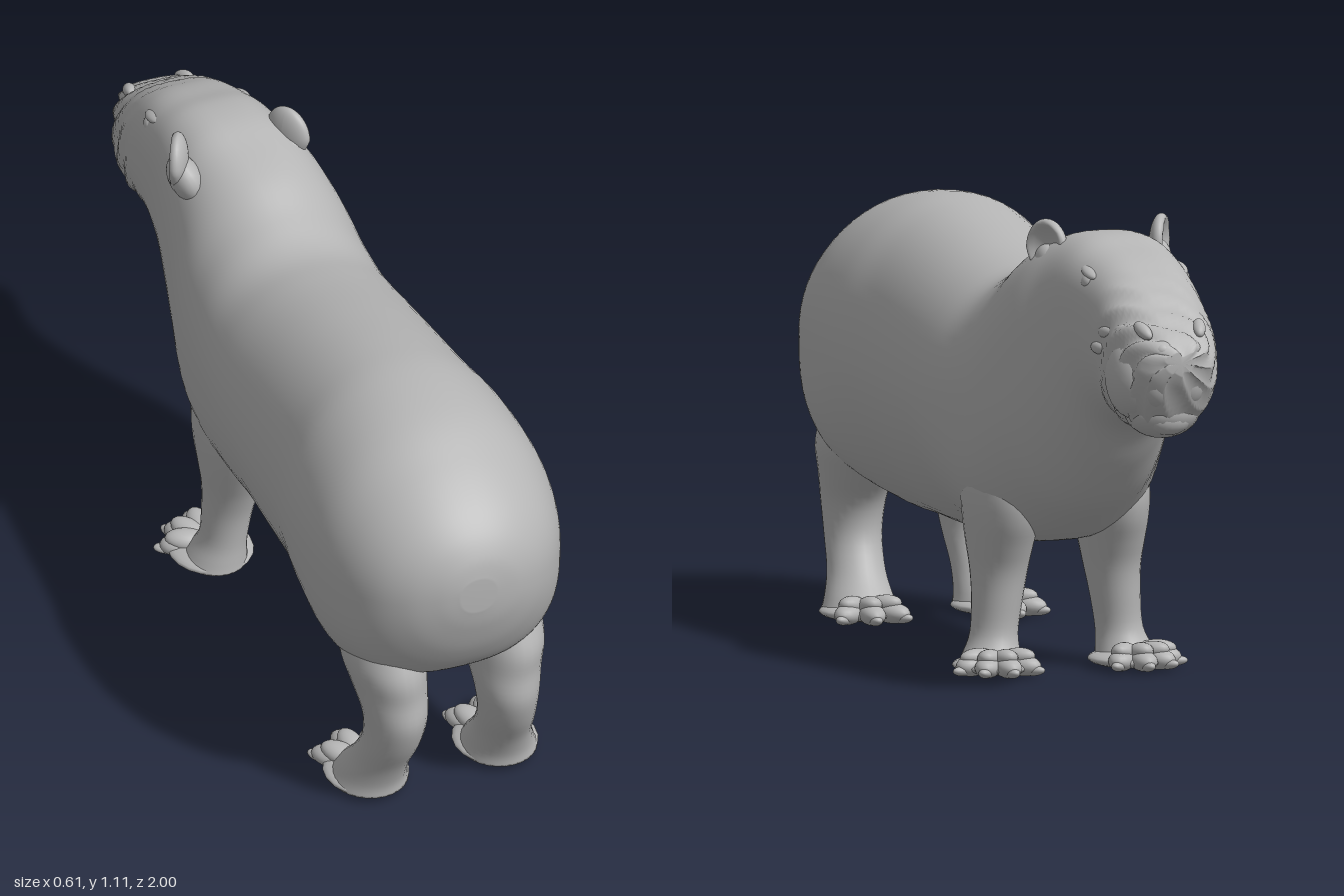
import * as THREE from 'three';

const fur = new THREE.MeshStandardMaterial({ color: 0xb5b5b5 });
fur.name = 'grey fur';
const { smoothstep } = THREE.MathUtils;

// Closed smooth skin through rings of points, wound outward
function loft(rings) {
  const n = rings[0].length, pos = [], idx = [];
  rings.forEach(r => r.forEach(p => pos.push(...p)));
  for (let i = 0; i < rings.length - 1; i++) {
    for (let j = 0; j < n; j++) {
      const a = i * n + j, b = i * n + (j + 1) % n;
      idx.push(a, b, a + n, b, b + n, a + n);
    }
  }
  [0, rings.length - 1].forEach((k, end) => {
    const c = [0, 1, 2].map(d => rings[k].reduce((s, p) => s + p[d], 0) / n);
    const ci = pos.length / 3;
    pos.push(...c);
    for (let j = 0; j < n; j++) {
      const a = k * n + j, b = k * n + (j + 1) % n;
      if (end) idx.push(a, b, ci); else idx.push(b, a, ci);
    }
  });
  let volume = 0;
  const v = i => new THREE.Vector3().fromArray(pos, i * 3);
  for (let i = 0; i < idx.length; i += 3) volume += v(idx[i]).dot(v(idx[i + 1]).cross(v(idx[i + 2])));
  if (volume < 0) idx.reverse();
  const g = new THREE.BufferGeometry();
  g.setAttribute('position', new THREE.Float32BufferAttribute(pos, 3));
  g.setIndex(idx);
  g.computeVertexNormals();
  return g;
}

// Catmull-Rom refinement of rows of section parameters
function refine(rows, steps) {
  const out = [], at = i => rows[Math.max(0, Math.min(rows.length - 1, i))];
  for (let i = 0; i < rows.length - 1; i++) {
    for (let s = 0; s < steps; s++) {
      const t = s / steps;
      out.push(rows[i].map((b, k) => {
        const a = at(i - 1)[k], c = at(i + 1)[k], d = at(i + 2)[k];
        return b + 0.5 * t * (c - a + t * (2 * a - 5 * b + 4 * c - d + t * (3 * (b - c) + d - a)));
      }));
    }
  }
  out.push(rows[rows.length - 1]);
  return out;
}

function add(parent, name, geometry) {
  const m = new THREE.Mesh(geometry, fur);
  m.name = name;
  parent.add(m);
  return m;
}

function blob(parent, name, p, s, r = [0, 0, 0]) {
  const m = add(parent, name, new THREE.SphereGeometry(1, 20, 14));
  m.position.set(...p);
  m.scale.set(...s);
  m.rotation.set(...r);
  return m;
}

// Torso and head sections: z, top, bottom, height of widest point, half width, centre x
const BODY = [
  [0.998, 0.76, 0.67, 0.72, 0.045, -0.01], [0.985, 0.81, 0.61, 0.71, 0.105, 0],
  [0.95, 0.865, 0.52, 0.7, 0.175, 0], [0.89, 0.92, 0.435, 0.69, 0.236, 0],
  [0.8, 0.975, 0.38, 0.68, 0.28, 0], [0.68, 1.025, 0.335, 0.68, 0.302, 0],
  [0.52, 1.045, 0.285, 0.67, 0.3, 0], [0.38, 1.035, 0.28, 0.66, 0.281, 0],
  [0.2, 1.005, 0.28, 0.65, 0.273, 0], [0, 0.965, 0.298, 0.64, 0.266, 0],
  [-0.12, 0.952, 0.305, 0.64, 0.255, 0], [-0.22, 0.985, 0.31, 0.64, 0.247, 0],
  [-0.32, 1.035, 0.335, 0.65, 0.238, 0], [-0.42, 1.068, 0.385, 0.69, 0.21, -0.005],
  [-0.5, 1.09, 0.44, 0.77, 0.182, -0.018], [-0.58, 1.09, 0.53, 0.86, 0.162, -0.028],
  [-0.65, 1.07, 0.625, 0.88, 0.152, -0.035], [-0.73, 1.045, 0.66, 0.86, 0.141, -0.04],
  [-0.81, 1.0, 0.652, 0.83, 0.134, -0.042], [-0.89, 0.943, 0.66, 0.81, 0.12, -0.042],
  [-0.94, 0.91, 0.7, 0.81, 0.102, -0.04], [-0.98, 0.88, 0.77, 0.825, 0.075, -0.04],
  [-0.998, 0.855, 0.81, 0.835, 0.035, -0.04],
];

function bodyGeometry() {
  return loft(refine(BODY, 6).map(([z, top, bottom, mid, hw, cx]) => {
    // Flat broad crown, full haunches and shoulders, keeled belly between them
    const crown = smoothstep(-z, 0.25, 0.48);
    const muzzle = smoothstep(-z, 0.72, 0.86);
    const haunch = smoothstep(z, 0.52, 0.72) * (1 - smoothstep(z, 0.82, 0.95));
    const shoulder = smoothstep(-z, 0.02, 0.2) * (1 - smoothstep(-z, 0.26, 0.42));
    const belly = smoothstep(z, -0.08, 0.12) * (1 - smoothstep(z, 0.42, 0.62));
    const lower = 0.9 - 0.2 * haunch - 0.14 * shoulder + 0.16 * belly;
    const ring = [];
    for (let j = 0; j < 64; j++) {
      const a = j / 64 * Math.PI * 2, c = Math.cos(a), s = Math.sin(a);
      const e = s > 0 ? 0.96 - 0.26 * crown : lower;
      const x = cx + hw * Math.sign(c) * Math.abs(c) ** e;
      const y = mid + (s > 0 ? top - mid : mid - bottom) * Math.sign(s) * Math.abs(s) ** e;
      // Ragged muzzle fur
      const m = muzzle * 0.006;
      ring.push([x + m * Math.sin(j * 0.9 + z * 90), y + m * Math.sin(z * 110 + j * 0.8), z]);
    }
    return ring;
  }));
}

// Leg sections: y, centre x, centre z, x radius, z radius
const HIND = [
  [0.62, 0.14, 0.7, 0.05, 0.08], [0.53, 0.147, 0.715, 0.08, 0.125], [0.46, 0.151, 0.73, 0.092, 0.148],
  [0.41, 0.151, 0.745, 0.094, 0.15], [0.35, 0.146, 0.77, 0.086, 0.124], [0.28, 0.143, 0.8, 0.075, 0.098],
  [0.2, 0.147, 0.79, 0.068, 0.08], [0.12, 0.155, 0.745, 0.069, 0.078], [0.06, 0.162, 0.705, 0.082, 0.092],
  [0.025, 0.165, 0.69, 0.094, 0.102],
];
const FRONT = [
  [0.6, 0.13, -0.22, 0.05, 0.08], [0.5, 0.135, -0.222, 0.08, 0.13], [0.43, 0.137, -0.222, 0.087, 0.145],
  [0.37, 0.138, -0.222, 0.084, 0.135], [0.31, 0.14, -0.22, 0.076, 0.11], [0.25, 0.142, -0.22, 0.067, 0.086],
  [0.18, 0.148, -0.225, 0.06, 0.07], [0.1, 0.157, -0.228, 0.057, 0.063], [0.05, 0.167, -0.24, 0.07, 0.076],
  [0.025, 0.172, -0.25, 0.08, 0.088],
];

function legGeometry(rows, side) {
  return loft(refine(rows, 4).map(([y, cx, cz, rx, rz]) => Array.from({ length: 28 }, (_, j) => {
    const a = j / 28 * Math.PI * 2;
    return [side * (cx + rx * Math.cos(a)), y, cz + rz * Math.sin(a)];
  })));
}

// Splayed toes with claws, angles measured outward from straight ahead
function foot(parent, name, side, x, z, length, angles) {
  const g = new THREE.Group();
  g.name = name;
  parent.add(g);
  blob(g, 'sole', [side * x, 0.03, z], [0.102, 0.022, 0.11]);
  angles.forEach((a, i) => {
    const dx = Math.sin(a) * side, dz = -Math.cos(a), l = length * (1 - 0.12 * Math.abs(a));
    const turn = Math.atan2(dx, dz);
    blob(g, 'toe' + i, [side * x + dx * l * 0.72, 0.034, z + dz * l * 0.72], [0.031, 0.025, l * 0.4], [0, turn, 0]);
    blob(g, 'knuckle' + i, [side * x + dx * l * 0.5, 0.05, z + dz * l * 0.5], [0.03, 0.024, 0.055], [0.25, turn, 0]);
    blob(g, 'claw' + i, [side * x + dx * l * 0.98, 0.024, z + dz * l * 0.98], [0.016, 0.012, 0.03], [0.15, turn, 0]);
  });
}

// Cupped ear: disc pressed inward on its open face, narrowing to the root
function earGeometry() {
  const g = new THREE.SphereGeometry(1, 28, 20), p = g.attributes.position;
  for (let i = 0; i < p.count; i++) {
    const x = p.getX(i), y = p.getY(i), z = p.getZ(i), r = Math.hypot(y, z);
    p.setX(i, x > 0 ? x - 1.3 * Math.max(0, 1 - r * r * 1.3) : x);
    p.setZ(i, z * (y < 0 ? 1 + 0.3 * y : 1));
  }
  g.computeVertexNormals();
  return g;
}

export function createModel() {
  const model = new THREE.Group();
  model.name = 'largeRodent';
  add(model, 'bodyAndHead', bodyGeometry());

  for (const side of [1, -1]) {
    const label = side > 0 ? 'left' : 'right';
    add(model, label + 'HindLeg', legGeometry(HIND, side));
    add(model, label + 'FrontLeg', legGeometry(FRONT, side));
    foot(model, label + 'HindFoot', side, 0.165, 0.675, 0.14, [-0.5, 0.1, 0.7]);
    foot(model, label + 'FrontFoot', side, 0.17, -0.275, 0.125, [-0.6, 0.0, 0.55, 1.15]);

    // Face details sit about the slightly turned head
    const hx = -0.037;
    const ear = add(model, label + 'Ear', earGeometry());
    ear.position.set(hx + side * 0.143, 1.045, -0.46);
    ear.scale.set(0.028, 0.071, 0.062);
    ear.rotation.set(0, side > 0 ? 0.5 : Math.PI - 0.5, 0);
    blob(model, label + 'EarRoot', [hx + side * 0.125, 0.995, -0.45], [0.04, 0.062, 0.06], [0, 0, -side * 0.35]);
    blob(model, label + 'Eye', [hx + side * 0.116, 0.993, -0.68], [0.019, 0.02, 0.025]);
    blob(model, label + 'Brow', [hx + side * 0.108, 1.015, -0.675], [0.022, 0.013, 0.042], [-0.25, 0, 0]);
    blob(model, label + 'Cheek', [hx + side * 0.072, 0.79, -0.855], [0.06, 0.1, 0.09]);
    blob(model, label + 'UpperLip', [hx + side * 0.036, 0.79, -0.93], [0.052, 0.07, 0.048]);
    blob(model, label + 'Nostril', [hx + side * 0.035, 0.865, -0.96], [0.027, 0.022, 0.03]);
    // Whisker tufts lying along the muzzle
    for (let i = 0; i < 7; i++) {
      const z = -0.78 - 0.025 * i, y = 0.85 + 0.06 * Math.sin(i * 2.4);
      blob(model, label + 'Tuft' + i, [hx + side * (0.124 - 0.009 * i), y, z],
        [0.016, 0.016, 0.034], [0.6 * Math.sin(i * 3), side * 0.25, 0]);
    }
  }
  blob(model, 'chin', [-0.04, 0.705, -0.86], [0.09, 0.065, 0.085], [0.1, 0, 0]);
  blob(model, 'lowerLip', [-0.04, 0.69, -0.905], [0.055, 0.038, 0.035]);
  blob(model, 'tailStub', [-0.005, 0.735, 0.98], [0.05, 0.045, 0.016], [0.1, 0, 0.5]);
  return model;
}
